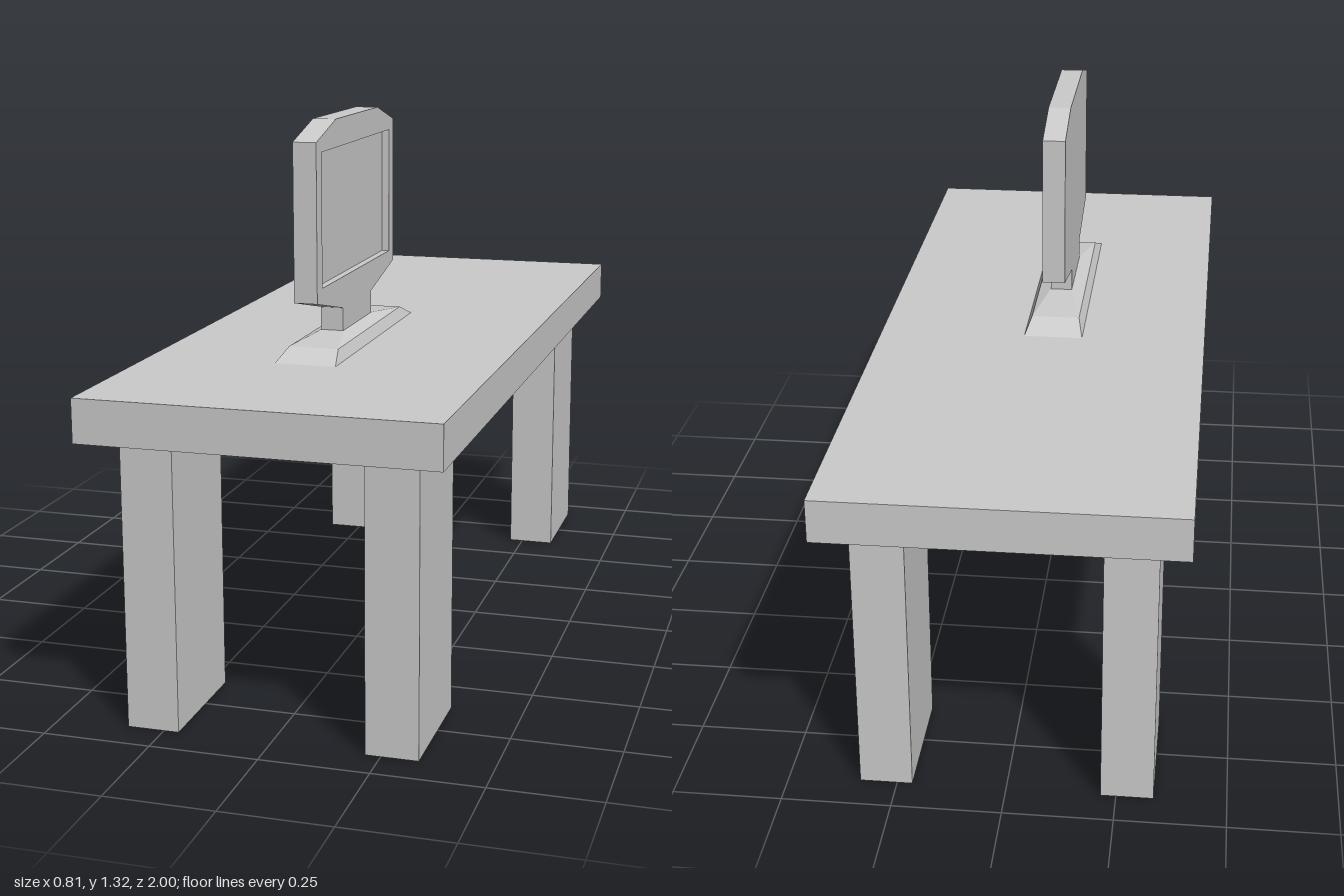
import * as THREE from 'three';

const material = new THREE.MeshStandardMaterial({ color: 0xcccccc, flatShading: true });

function addMesh(parent, name, geometry, x = 0, y = 0, z = 0) {
  const mesh = new THREE.Mesh(geometry, material);
  mesh.name = name;
  mesh.position.set(x, y, z);
  parent.add(mesh);
  return mesh;
}

// Stacked rectangles [y, x0, x1, z0, z1], joined by sloping sides and capped
function steppedRects(levels) {
  const positions = [];
  const index = [];
  for (const [y, x0, x1, z0, z1] of levels) {
    positions.push(x0, y, z1, x1, y, z1, x1, y, z0, x0, y, z0);
  }
  for (let i = 0; i < levels.length - 1; i++) {
    for (let j = 0; j < 4; j++) {
      const a = i * 4 + j;
      const b = i * 4 + (j + 1) % 4;
      index.push(a, b, b + 4, a, b + 4, a + 4);
    }
  }
  const t = (levels.length - 1) * 4;
  index.push(t, t + 1, t + 2, t, t + 2, t + 3, 0, 2, 1, 0, 3, 2);
  const geometry = new THREE.BufferGeometry();
  geometry.setAttribute('position', new THREE.Float32BufferAttribute(positions, 3));
  geometry.setIndex(index);
  const flat = geometry.toNonIndexed();
  flat.computeVertexNormals();
  return flat;
}

// Extrudes a side outline along +x; shape coordinates are (-z, y)
function sidePlate(shape, depth) {
  return new THREE.ExtrudeGeometry(shape, { depth, bevelEnabled: false }).rotateY(Math.PI / 2);
}

const sidePoints = (points) => points.map(([z, y]) => new THREE.Vector2(-z, y));

export function createModel() {
  const model = new THREE.Group();
  model.name = 'deskWithMonitor';

  // Desk
  const desk = new THREE.Group();
  desk.name = 'desk';
  model.add(desk);
  addMesh(desk, 'deskTop', new THREE.BoxGeometry(0.81, 0.1, 2), 0, 0.72, 0);
  for (const sx of [-1, 1]) {
    for (const sz of [-1, 1]) {
      const name = (sz > 0 ? 'front' : 'back') + (sx > 0 ? 'Left' : 'Right') + 'Leg';
      addMesh(desk, name, new THREE.BoxGeometry(0.12, 0.67, 0.295), sx * 0.275, 0.335, sz * 0.768);
    }
  }

  // Monitor, its screen facing +x
  const monitor = new THREE.Group();
  monitor.name = 'monitor';
  model.add(monitor);
  addMesh(monitor, 'monitorBase', steppedRects([
    [0.77, -0.1, 0.045, -0.105, 0.565],
    [0.797, -0.087, 0.032, -0.04, 0.5],
    [0.81, -0.055, 0, 0.115, 0.355],
  ]));

  // Housing and neck share one outline
  const outline = sidePoints([
    [0.355, 0.81], [0.115, 0.81], [0.115, 0.865], [-0.09, 0.91], [-0.09, 1.275],
    [0.055, 1.315], [0.405, 1.315], [0.555, 1.275], [0.555, 0.91], [0.355, 0.865],
  ]);
  const recess = 0.018;
  addMesh(monitor, 'monitorHousing', sidePlate(new THREE.Shape(outline), 0.055 - recess), -0.055);

  // Bezel around the sunken screen
  const bezel = new THREE.Shape(outline);
  bezel.holes.push(new THREE.Path(sidePoints([
    [0.515, 0.94], [0.515, 1.25], [-0.05, 1.25], [-0.05, 0.94],
  ])));
  addMesh(monitor, 'monitorBezel', sidePlate(bezel, recess), -recess);

  return model;
}
